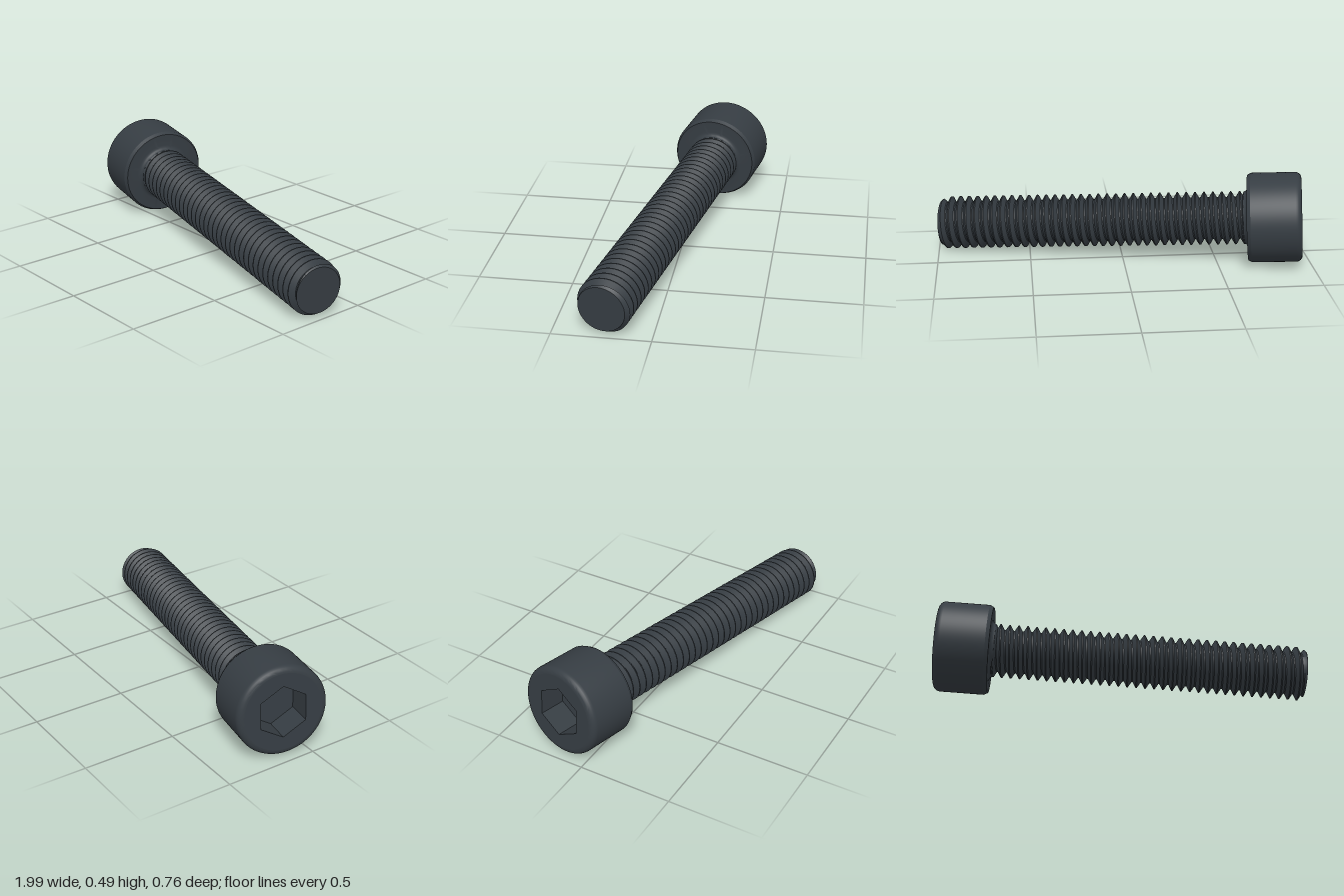
import * as THREE from 'three';
import { toCreasedNormals, mergeVertices } from 'three/addons/utils/BufferGeometryUtils.js';

const LENGTH = 1.968, HEAD = 0.288, HEAD_R = 0.24;
const CREST = 0.143, ROOT = 0.113, PITCH = 0.048, TIP_R = 0.123;
const HEX_R = 0.1386, HEX_DEPTH = 0.144;

// Helical thread: rows follow the helix and are clamped at both ends
function threadGeometry(start, end) {
  const SIDES = 64;
  const profile = [[0, ROOT], [0.14, ROOT], [0.51, CREST], [0.63, CREST], [1, ROOT]];
  const radiusAt = (a, turn) => {
    const p = THREE.MathUtils.euclideanModulo((a - start) / PITCH - turn + 1e-6, 1);
    const k = Math.max(1, profile.findIndex((q) => q[0] >= p));
    const [p0, r0] = profile[k - 1], [p1, r1] = profile[k];
    let r = r0 + (r1 - r0) * (p - p0) / (p1 - p0);
    if (end - a < 0.006) r = Math.max(r, TIP_R);
    return Math.min(r, TIP_R + (end - a) * 0.8);   // chamfered tip
  };
  const levels = [];
  const turns = Math.ceil((end - start) / PITCH) + 1;
  for (let t = -1; t < turns; t++) {
    for (let k = 0; k < 4; k++) levels.push(t + profile[k][0]);
  }
  const pos = [], index = [];
  levels.forEach((level, j) => {
    for (let i = 0; i <= SIDES; i++) {
      const turn = i / SIDES, th = turn * Math.PI * 2;
      const a = THREE.MathUtils.clamp(start + PITCH * (level + turn), start, end);
      const r = radiusAt(a, turn);
      pos.push(r * Math.sin(th), a, r * Math.cos(th));
      if (i < SIDES && j < levels.length - 1) {
        const p = j * (SIDES + 1) + i, q = p + SIDES + 1;
        index.push(p, p + 1, q + 1, p, q + 1, q);
      }
    }
  });
  const geo = new THREE.BufferGeometry();
  geo.setAttribute('position', new THREE.Float32BufferAttribute(pos, 3));
  geo.setIndex(index);
  return toCreasedNormals(geo, 0.6);
}

// Lathe with crisp profile corners
function turned(points) {
  const geo = new THREE.LatheGeometry(points.map(([r, y]) => new THREE.Vector2(r, y)), 96);
  geo.deleteAttribute('normal');
  geo.deleteAttribute('uv');
  return toCreasedNormals(mergeVertices(geo), 0.5);
}

export function createModel() {
  const steel = new THREE.MeshStandardMaterial({ color: 0x363d43 });
  steel.name = 'blackSteel';
  const screw = new THREE.Group();
  screw.name = 'socketScrew';
  const add = (name, geo) => {
    const mesh = new THREE.Mesh(geo, steel);
    mesh.name = name;
    screw.add(mesh);
  };

  // Head: rounded rim, straight side, small chamfer below, fillet into the shank
  const fillet = 0.033, outline = [];
  for (let i = 0; i <= 6; i++) {
    const t = (i / 6) * Math.PI / 2;
    outline.push([HEAD_R - fillet + fillet * Math.sin(t), fillet - fillet * Math.cos(t)]);
  }
  outline.push([HEAD_R, HEAD - 0.02], [HEAD_R - 0.011, HEAD], [0.165, HEAD]);
  for (let i = 1; i <= 4; i++) {
    const t = (i / 4) * Math.PI / 2;
    outline.push([0.165 - 0.025 * Math.sin(t), HEAD + 0.02 * (1 - Math.cos(t))]);
  }
  outline.push([ROOT - 0.002, HEAD + 0.032]);
  add('head', turned(outline));

  // Flat head face with a hexagonal opening
  const face = new THREE.Shape().absarc(0, 0, HEAD_R - fillet, 0, Math.PI * 2, false);
  const hex = [];
  for (let i = 0; i < 6; i++) {
    const t = i * Math.PI / 3;
    hex.push(new THREE.Vector2(HEX_R * Math.sin(t), HEX_R * Math.cos(t)));
  }
  face.holes.push(new THREE.Path(hex));
  add('headFace', new THREE.ShapeGeometry(face, 48).rotateX(Math.PI / 2));

  // Socket walls face inward
  const walls = new THREE.CylinderGeometry(HEX_R, HEX_R, HEX_DEPTH, 6, 1, true)
    .scale(1, 1, -1).translate(0, HEX_DEPTH / 2, 0).toNonIndexed();
  walls.computeVertexNormals();
  add('socketWalls', walls);
  add('socketFloor', new THREE.ShapeGeometry(new THREE.Shape(hex))
    .rotateX(Math.PI / 2).translate(0, HEX_DEPTH, 0));

  // Threaded shank and its flat end
  add('thread', threadGeometry(HEAD + 0.012, LENGTH));
  add('tipFace', new THREE.CircleGeometry(TIP_R, 64).rotateX(-Math.PI / 2).translate(0, LENGTH, 0));

  // Lay the screw along its slanted axis, socket corner upward
  const axis = new THREE.Vector3(0.977, -0.0575, 0.204).normalize();
  const up = new THREE.Vector3(0, 1, 0).addScaledVector(axis, -axis.y).normalize();
  const side = new THREE.Vector3().crossVectors(axis, up);
  screw.quaternion.setFromRotationMatrix(new THREE.Matrix4().makeBasis(side, axis, up));
  screw.position.set(-0.949, 0.256, -0.152);

  const model = new THREE.Group();
  model.name = 'model';
  model.add(screw);
  return model;
}
